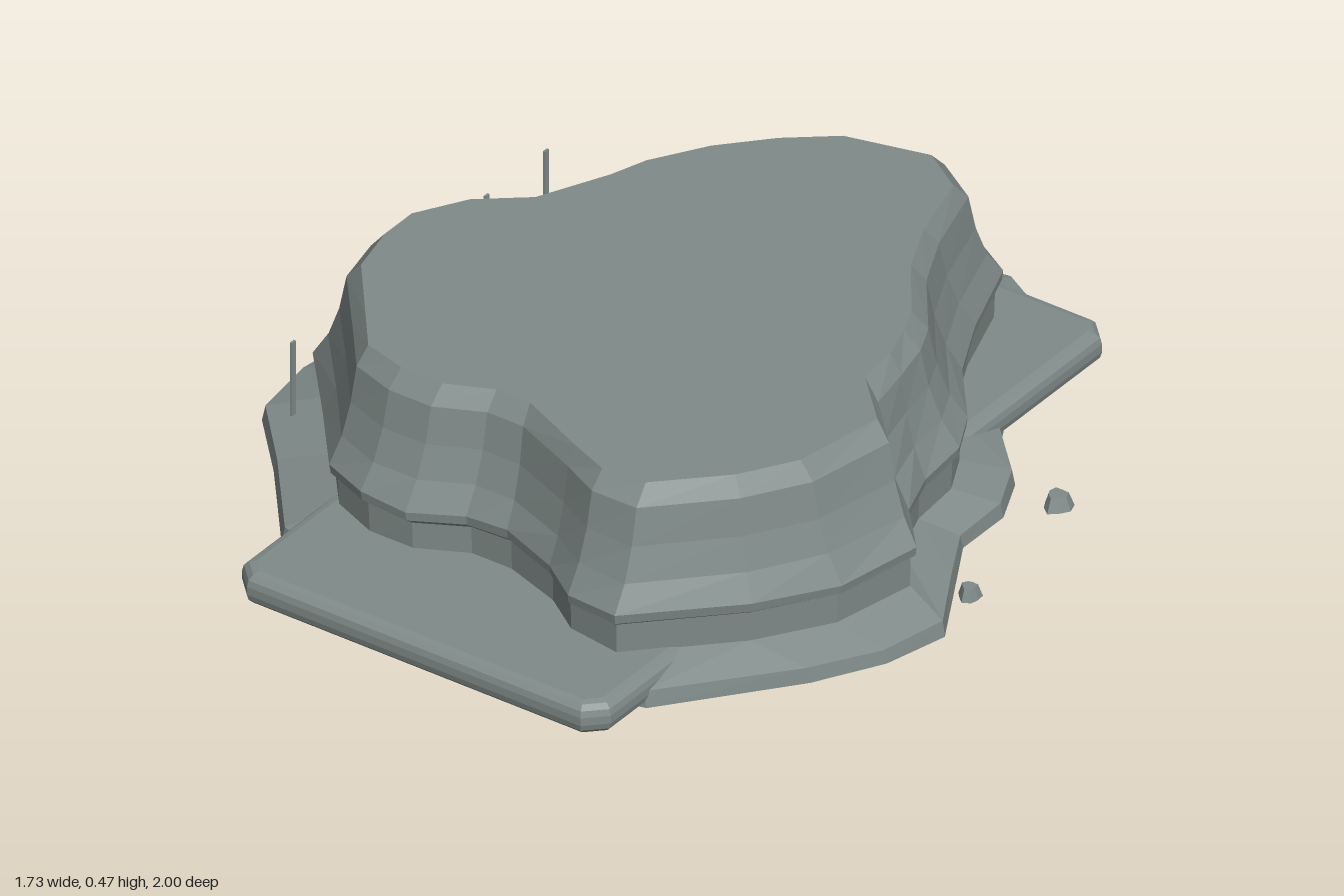
import * as THREE from 'three';

// Matching plan outlines as x, z pairs, clockwise seen from above, starting at the back
const TOP = [.13, -.75, .24, -.68, .29, -.5, .35, -.37, .46, -.22, .49, -.15, .52, -.06, .53, .05, .65, .17, .61, .4,
  .53, .53, .39, .67, .28, .68, .18, .64, 0, .56, -.09, .56, -.2, .61, -.31, .61, -.42, .58, -.5, .48,
  -.62, .33, -.65, .2, -.65, .1, -.58, -.02, -.47, -.11, -.39, -.28, -.36, -.37, -.28, -.5, -.18, -.61, -.07, -.7];
const LEDGE = [.15, -.89, .28, -.81, .35, -.61, .43, -.45, .56, -.29, .61, -.19, .62, -.05, .67, .08, .77, .19, .72, .4,
  .61, .58, .4, .8, .26, .78, .16, .71, .01, .66, -.1, .66, -.22, .72, -.34, .72, -.46, .67, -.6, .5,
  -.75, .33, -.775, .2, -.75, .05, -.63, -.09, -.54, -.21, -.5, -.4, -.42, -.54, -.29, -.66, -.16, -.8, 0, -.86];
const FOOT = [.17, -1, .29, -.93, .4, -.68, .5, -.5, .63, -.37, .685, -.25, .685, -.1, .77, .05, .86, .21, .82, .37,
  .73, .53, .5, .82, .28, .87, .16, .8, 0, .74, -.1, .74, -.22, .8, -.36, .81, -.53, .75, -.71, .53,
  -.85, .38, -.87, .21, -.855, .04, -.71, -.11, -.605, -.21, -.55, -.38, -.48, -.55, -.33, -.75, -.12, -.925, 0, -.98];
const N = TOP.length / 2;

// One horizontal ring: blend of two outlines, scaled, with an optional height ripple
function ring(a, b, t, y, scale = 1, ripple = 0) {
  return Array.from({ length: N }, (_, i) => [
    THREE.MathUtils.lerp(a[2 * i], b[2 * i], t) * scale,
    y + ripple * Math.sin(i * 1.9),
    THREE.MathUtils.lerp(a[2 * i + 1], b[2 * i + 1], t) * scale,
  ]);
}

// Skin a stack of rings, optionally closing the last one
function loft(rings, cap) {
  const pos = [];
  for (let k = 0; k < rings.length - 1; k++) {
    for (let i = 0; i < N; i++) {
      const j = (i + 1) % N, lo = rings[k], hi = rings[k + 1];
      pos.push(...lo[i], ...hi[i], ...lo[j], ...lo[j], ...hi[i], ...hi[j]);
    }
  }
  if (cap) {
    const last = rings[rings.length - 1];
    for (let i = 0; i < N; i++) pos.push(0, last[0][1], 0, ...last[(i + 1) % N], ...last[i]);
  }
  const geo = new THREE.BufferGeometry();
  geo.setAttribute('position', new THREE.Float32BufferAttribute(pos, 3));
  geo.computeVertexNormals();
  return geo;
}

export function createModel() {
  const model = new THREE.Group();
  model.name = 'rockPlatform';
  const stone = new THREE.MeshStandardMaterial({ color: 0x808b89, flatShading: true, side: THREE.DoubleSide });
  stone.name = 'greyStone';
  const add = (name, geo, x = 0, y = 0, z = 0) => {
    const mesh = new THREE.Mesh(geo, stone);
    mesh.name = name;
    mesh.position.set(x, y, z);
    model.add(mesh);
    return mesh;
  };

  // Flared plateau with an overhanging ledge, open underneath
  add('plateau', loft([
    ring(LEDGE, TOP, 0, .05, .97),
    ring(LEDGE, TOP, 0, .15, .975, .004),
    ring(LEDGE, TOP, 0, .162, .995, .005),
    ring(LEDGE, TOP, 0, .185, 1, .006),
    ring(LEDGE, TOP, .32, .25),
    ring(LEDGE, TOP, .55, .33),
    ring(LEDGE, TOP, .7, .42),
    ring(LEDGE, TOP, 1, .465),
  ], true));

  // Sloping skirt around the foot
  add('skirt', loft([
    ring(LEDGE, FOOT, 0, .004, .9),
    ring(LEDGE, FOOT, 1, 0),
    ring(LEDGE, FOOT, .93, .037, 1, .004),
    ring(LEDGE, FOOT, 0, .075, .97, .004),
  ], false));

  // Bevelled slab with clipped corners
  const b = .03, c = .03, x0 = -.49 + b, x1 = .5 - b, z0 = -.92 + b, z1 = 1 - b;
  const plan = new THREE.Shape([
    [x0 + c, -z1], [x1 - c, -z1], [x1, -z1 + c], [x1, -z0 - c],
    [x1 - c, -z0], [x0 + c, -z0], [x0, -z0 - c], [x0, -z1 + c],
  ].map(([x, y]) => new THREE.Vector2(x, y)));
  const slab = new THREE.ExtrudeGeometry(plan, { depth: .02, bevelThickness: .03, bevelSize: b, bevelSegments: 3 });
  slab.rotateX(-Math.PI / 2);
  add('slab', slab, 0, .03, 0);

  // Loose pebbles: x, z, radius
  [[-.58, -.43, .052], [-.775, -.105, .032], [-.7, -.12, .028], [.755, -.355, .034], [.81, .05, .026]]
    .forEach(([x, z, r], n) => {
      const h = .02 + r * .4;
      const geo = new THREE.CylinderGeometry(r * .65, r, h, 8, 2);
      const p = geo.attributes.position;
      for (let i = 0; i < p.count; i++) {
        const a = Math.atan2(p.getZ(i), p.getX(i));
        const s = 1 + .16 * Math.sin(3 * a + n);
        p.setX(i, p.getX(i) * s);
        p.setZ(i, p.getZ(i) * s);
      }
      add('pebble', geo, x, h / 2, z);
    });

  // Thin upright stakes along one side
  for (const z of [-.44, -.22, 0, .5]) {
    add('stake', new THREE.BoxGeometry(.006, .19, .014), -.68, .237, z);
  }
  return model;
}
